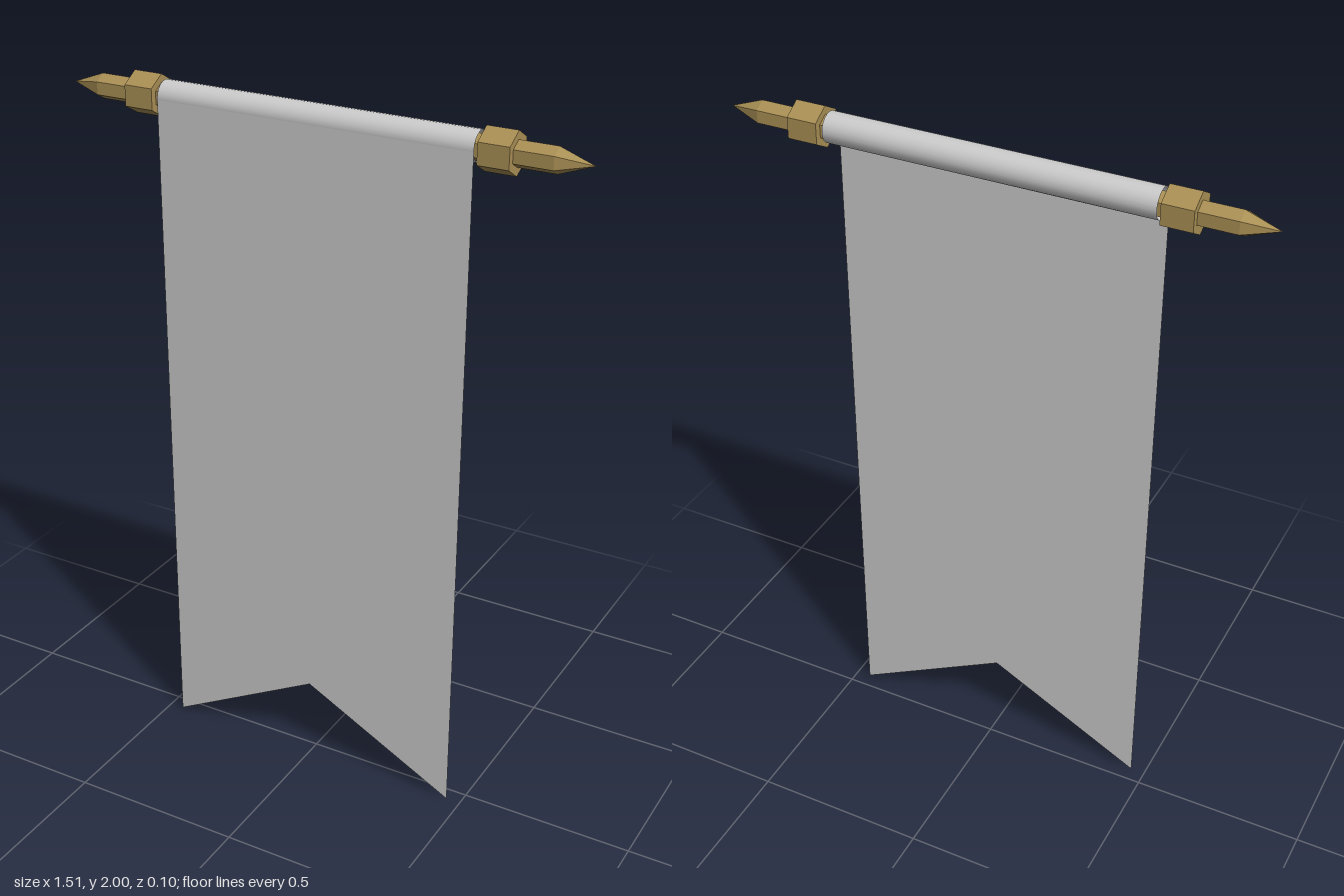
import * as THREE from 'three';

const POLE_Y = 1.942;

export function createModel() {
  const model = new THREE.Group();
  model.name = 'hangingBanner';

  const cloth = new THREE.MeshStandardMaterial({ color: 0xcccccc, side: THREE.DoubleSide });
  const brass = new THREE.MeshStandardMaterial({ color: 0xaa9055, flatShading: true });

  // Six-sided piece lying along x, with corners at top and bottom
  function hexPiece(name, x0, x1, r0, r1, parent) {
    const geometry = new THREE.CylinderGeometry(r1, r0, x1 - x0, 6);
    geometry.rotateY(Math.PI / 2).rotateZ(-Math.PI / 2).translate((x0 + x1) / 2, 0, 0);
    const mesh = new THREE.Mesh(geometry, brass);
    mesh.name = name;
    parent.add(mesh);
  }

  // Pole with a collar and a pointed finial at each end
  const pole = new THREE.Group();
  pole.name = 'pole';
  pole.position.y = POLE_Y;
  hexPiece('rod', -0.48, 0.48, 0.036, 0.036, pole);
  for (const [side, turn] of [['left', 0], ['right', Math.PI]]) {
    const end = new THREE.Group();
    end.name = side + 'PoleEnd';
    end.rotation.y = turn;
    hexPiece('collar', 0.47, 0.555, 0.058, 0.058, end);
    hexPiece('finialShaft', 0.555, 0.66, 0.035, 0.035, end);
    hexPiece('finialTip', 0.66, 0.755, 0.035, 0, end);
    pole.add(end);
  }
  model.add(pole);

  // Cloth sleeve wrapped round the rod
  const sleeveGeometry = new THREE.CylinderGeometry(0.042, 0.042, 0.916, 20, 1, true);
  sleeveGeometry.rotateZ(Math.PI / 2);
  const sleeve = new THREE.Mesh(sleeveGeometry, cloth);
  sleeve.name = 'clothSleeve';
  sleeve.position.y = POLE_Y + 0.003;
  model.add(sleeve);

  // Flat cloth with a swallowtail cut, hanging from the front of the sleeve
  const outline = new THREE.Shape([
    [-0.458, POLE_Y], [-0.458, 0], [0, 0.245], [0.458, 0], [0.458, POLE_Y],
  ].map(([x, y]) => new THREE.Vector2(x, y)));
  const sheet = new THREE.Mesh(new THREE.ShapeGeometry(outline), cloth);
  sheet.name = 'clothSheet';
  sheet.position.z = 0.042;
  model.add(sheet);

  return model;
}
